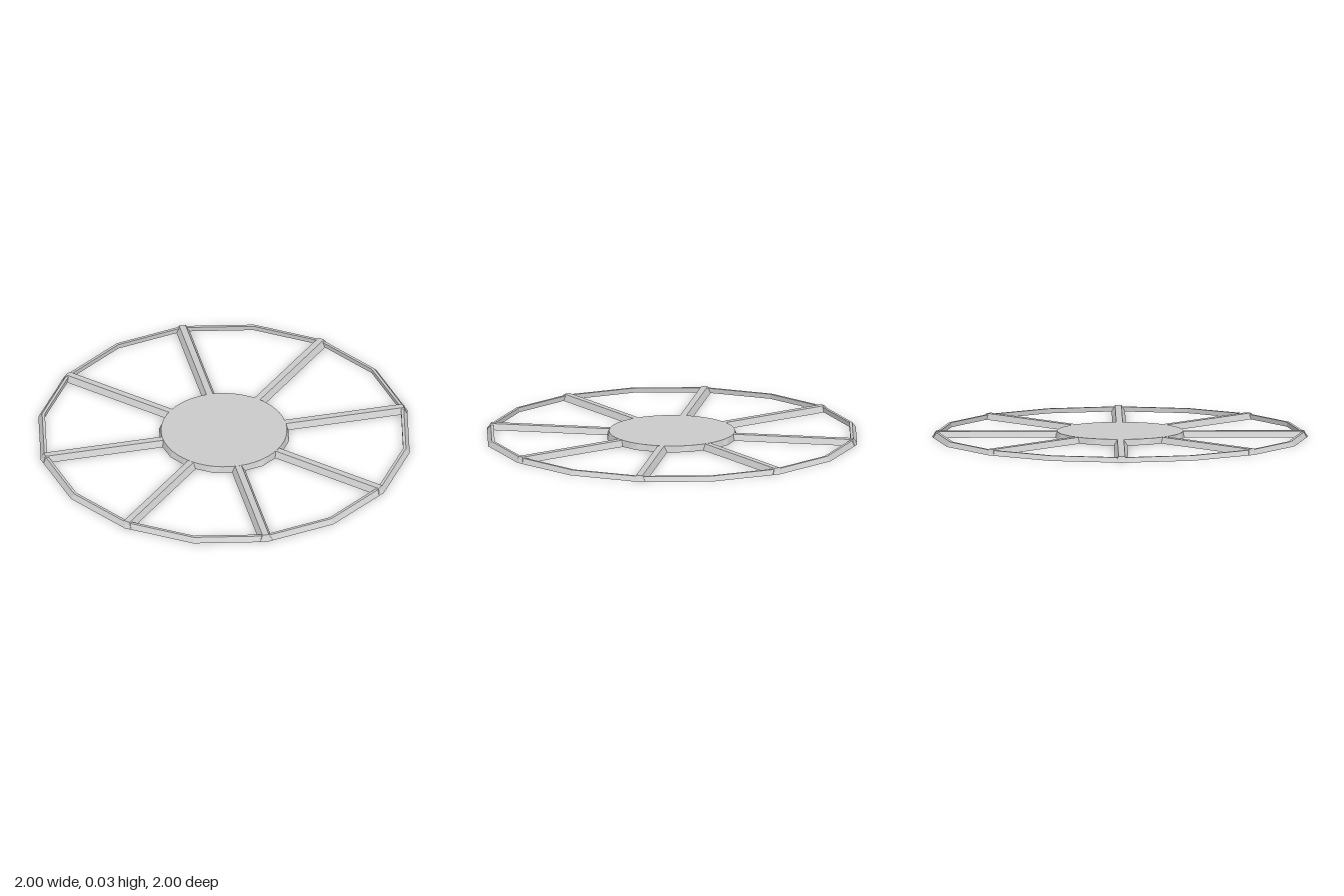
import * as THREE from 'three';

const SIDES = 16;
const material = new THREE.MeshStandardMaterial({ color: 0xcccccc, flatShading: true });

// Move every vertex of a geometry by a rule
function reshape(geometry, rule) {
  const p = geometry.attributes.position;
  const v = new THREE.Vector3();
  for (let i = 0; i < p.count; i++) {
    rule(v.fromBufferAttribute(p, i));
    p.setXYZ(i, v.x, v.y, v.z);
  }
  geometry.computeVertexNormals();
  return geometry;
}

function part(geometry, name) {
  const mesh = new THREE.Mesh(geometry, material);
  mesh.name = name;
  return mesh;
}

// Sixteen-sided ring with a sloping outer wall
function rimGeometry() {
  const profile = [[0.965, 0], [1, 0], [0.98, 0.025], [0.965, 0.025], [0.965, 0]];
  return new THREE.LatheGeometry(profile.map(([r, y]) => new THREE.Vector2(r, y)), SIDES);
}

// Disc: round top edge, sixteen-sided bottom edge
function hubGeometry() {
  const step = (Math.PI * 2) / SIDES;
  const geometry = new THREE.CylinderGeometry(0.335, 0.35, 0.032, SIDES * 3);
  geometry.translate(0, 0.016, 0);
  return reshape(geometry, (v) => {
    if (v.y > 0.01 || Math.hypot(v.x, v.z) < 0.1) return;
    const angle = Math.atan2(v.z, v.x);
    const offset = angle - (Math.floor(angle / step + 1e-6) + 0.5) * step;
    const k = Math.cos(step / 2) / Math.cos(offset);
    v.x *= k;
    v.z *= k;
  });
}

// Bar along x with bevelled sides and a sloping outer end
function spokeGeometry() {
  return reshape(new THREE.BoxGeometry(1, 1, 1), (v) => {
    const top = v.y > 0;
    v.x = v.x < 0 ? 0.325 : top ? 0.978 : 0.994;
    v.z *= top ? 0.034 : 0.072;
    v.y = top ? 0.031 : 0;
  });
}

export function createModel() {
  const model = new THREE.Group();
  model.name = 'spokedWheel';
  model.add(part(rimGeometry(), 'rim'), part(hubGeometry(), 'hub'));

  const spokes = new THREE.Group();
  spokes.name = 'spokes';
  const geometry = spokeGeometry();
  for (let i = 0; i < 8; i++) {
    const spoke = part(geometry, 'spoke');
    spoke.rotation.y = ((i + 0.5) * Math.PI) / 4;
    spokes.add(spoke);
  }
  model.add(spokes);
  return model;
}
